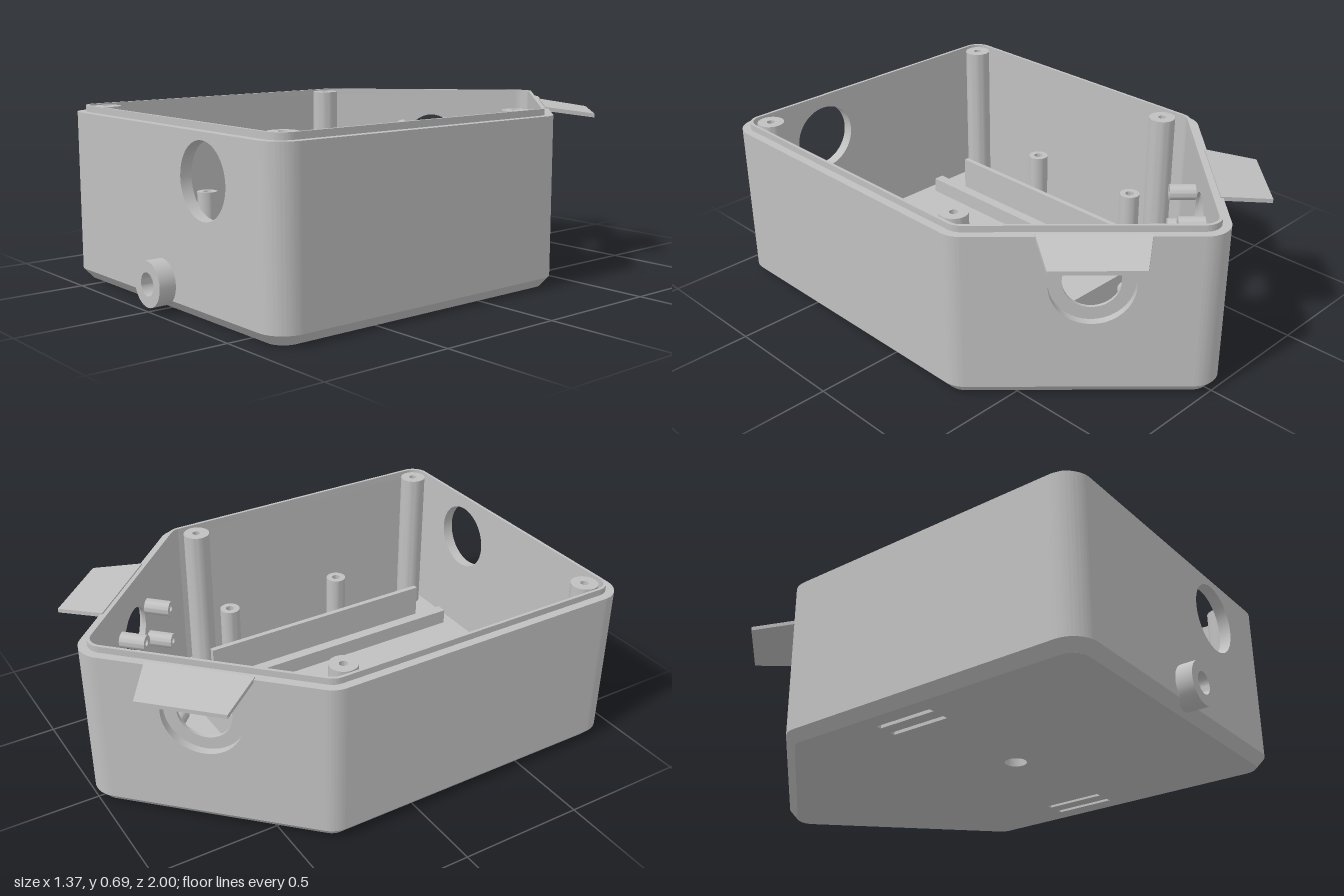
import * as THREE from 'three';
import { toCreasedNormals } from 'three/addons/utils/BufferGeometryUtils.js';

const R = 0.1, WALL = 0.045, FLOOR = 0.045, CHAMFER = 0.04, RIM = 0.66, LIP = 0.685;
const RAD = Math.PI / 180;

// Corner arcs of the plan outline, counter-clockwise: centre x, centre -z, start and end angle
const corners = [
  [0.585, -0.835, -90, 0],
  [0.585, 0.316, 0, 45],
  [0, 0.901, 45, 135],
  [-0.585, 0.316, 135, 180],
  [-0.585, -0.835, 180, 270],
].map(([x, y, a, b]) => [x, y, a * RAD, b * RAD]);

// House-shaped plan outline, moved inwards by inset
function outline(inset) {
  const s = new THREE.Shape();
  corners.forEach(([x, y, a, b]) => s.absarc(x, y, R - inset, a, b, false));
  s.closePath();
  return s;
}

function rect(cx, cy, w, h, Type = THREE.Shape) {
  const s = new Type();
  s.moveTo(cx - w / 2, cy - h / 2);
  s.lineTo(cx + w / 2, cy - h / 2);
  s.lineTo(cx + w / 2, cy + h / 2);
  s.lineTo(cx - w / 2, cy + h / 2);
  s.closePath();
  return s;
}

function circle(x, y, r) {
  return new THREE.Path().absarc(x, y, r, 0, Math.PI * 2, true);
}

function extrude(shape, depth) {
  const g = new THREE.ExtrudeGeometry(shape, { depth, bevelEnabled: false, curveSegments: 20 });
  return toCreasedNormals(g, 0.5);
}

// Plan shape raised from height y0 to y1
function slab(shape, y0, y1) {
  return extrude(shape, y1 - y0).rotateX(-Math.PI / 2).translate(0, y0, 0);
}

// Upright round post with a hole sunk into its top
function post(r, hole, h, depth) {
  const pts = [[r, 0], [r, h], [hole, h], [hole, h - depth]];
  if (depth < h) pts.push([0, h - depth]);
  const g = new THREE.LatheGeometry(pts.map(p => new THREE.Vector2(...p)), 32);
  return toCreasedNormals(g, 0.5);
}

// Sloping band between the base outline and the wall outline
function chamferBand() {
  const low = outline(0.035).getPoints(12), high = outline(0).getPoints(12);
  const pos = [], idx = [], n = low.length;
  for (let i = 0; i < n; i++) {
    pos.push(low[i].x, 0, -low[i].y, high[i].x, CHAMFER, -high[i].y);
    const a = 2 * i, b = 2 * ((i + 1) % n);
    idx.push(a, b, b + 1, a, b + 1, a + 1);
  }
  const g = new THREE.BufferGeometry();
  g.setAttribute('position', new THREE.Float32BufferAttribute(pos, 3));
  g.setIndex(idx);
  return toCreasedNormals(g, 0.5);
}

// Tapered plate that slopes down away from the wall
function visorGeometry() {
  const g = new THREE.BoxGeometry(1, 0.016, 1);
  const p = g.attributes.position;
  for (let i = 0; i < p.count; i++) {
    const t = p.getZ(i) + 0.5;
    p.setXYZ(i, p.getX(i) * (0.4 - 0.07 * t), p.getY(i) + 0.658 - 0.028 * t, -0.01 + 0.197 * t);
  }
  g.computeVertexNormals();
  return g;
}

export function createModel() {
  const model = new THREE.Group();
  const grey = new THREE.MeshStandardMaterial({ color: 0xc0c0c0 });
  grey.name = 'grey plastic';

  function add(name, geometry, parent = model, x = 0, y = 0, z = 0) {
    const m = new THREE.Mesh(geometry, grey);
    m.name = name;
    m.position.set(x, y, z);
    parent.add(m);
    return m;
  }
  function box(name, x0, x1, y0, y1, z0, z1) {
    add(name, new THREE.BoxGeometry(x1 - x0, y1 - y0, z1 - z0), model,
      (x0 + x1) / 2, (y0 + y1) / 2, (z0 + z1) / 2);
  }

  // Floor with drain hole and two pairs of slots
  const floor = outline(0.035);
  floor.holes.push(circle(0, -0.19, 0.043));
  for (const s of [-1, 1]) for (const d of [-0.037, 0.037]) {
    floor.holes.push(rect(s * 0.535 + d, -0.125, 0.022, 0.245, THREE.Path));
  }
  add('floor', slab(floor, 0, FLOOR));
  add('bottomChamfer', chamferBand());

  // Raised lip around the rim
  const lip = outline(0.033);
  lip.holes.push(outline(WALL));
  add('rimLip', slab(lip, RIM - 0.005, LIP));

  // Walls: a rounded corner and a flat panel for each side
  const names = ['leftWall', 'backLeftWall', 'backRightWall', 'rightWall', 'frontWall'];
  corners.forEach(([x, y, a, b], i) => {
    const arc = new THREE.Shape();
    arc.absarc(x, y, R, a, b, false);
    arc.absarc(x, y, R - WALL, b, a, true);
    arc.closePath();
    add('wallCorner', slab(arc, CHAMFER, RIM));

    const next = corners[(i + 1) % corners.length];
    const length = Math.hypot(next[0] - x, next[1] - y);
    const side = new THREE.Group();
    side.name = names[i];
    side.position.set((x + next[0]) / 2 + R * Math.cos(b), 0, -(y + next[1]) / 2 - R * Math.sin(b));
    side.rotation.y = b + Math.PI / 2;
    model.add(side);

    // Panel layer with round holes, between two depths behind the outer face
    const panel = (holes, from, to) => {
      const s = rect(0, (CHAMFER + RIM) / 2, length, RIM - CHAMFER);
      holes.forEach(h => s.holes.push(circle(...h)));
      add('panel', extrude(s, to - from), side, 0, 0, -to);
    };

    if (i === 1 || i === 2) {
      // Angled wall: stepped port, visor and four mounting pegs
      const c = i === 1 ? 0.035 : -0.035;
      panel([[c, 0.465, 0.155]], 0, 0.032);
      panel([[c, 0.465, 0.105]], 0.032, WALL);
      add('visor', visorGeometry(), side, c);
      for (const dx of [-0.131, 0.131]) for (const py of [0.365, 0.515]) {
        add('mountingPeg', post(0.031, 0.012, 0.108, 0.06).rotateX(-Math.PI / 2), side, c + dx, py, -0.038);
      }
    } else if (i === 4) {
      // Front wall: large port and short nozzle
      panel([[0.27, 0.493, 0.138], [0, 0.1, 0.043]], 0, WALL);
      add('nozzle', post(0.085, 0.043, 0.095, 0.095).rotateX(Math.PI / 2), side, 0, 0.1, -0.03);
    } else {
      panel([], 0, WALL);
    }
  });

  // Mirrored fittings on the floor
  for (const s of [-1, 1]) {
    for (const z of [-0.265, 0.825]) {
      add('cornerPost', post(0.053, 0.016, 0.68 - 0.03, 0.2), model, s * 0.575, 0.03, z);
    }
    for (const z of [-0.145, 0.395]) {
      add('shortPost', post(0.042, 0.018, 0.27, 0.15), model, s * 0.54, 0.03, z);
    }
    const span = (a, b) => (s > 0 ? [a, b] : [-b, -a]);
    box('thickRail', ...span(0.3, 0.345), 0.03, 0.11, -0.365, 0.84);
    box('thinRail', ...span(0.428, 0.45), 0.03, 0.19, -0.29, 0.77);
    box('slotCover', ...span(0.463, 0.608), FLOOR, 0.075, -0.032, 0.282);
  }
  box('crossPlate', -0.345, 0.345, 0.03, 0.2, -0.445, -0.422);

  // Central block around the drain hole
  const block = rect(0, -0.188, 0.312, 0.316);
  block.holes.push(circle(0, -0.19, 0.043));
  add('centreBlock', slab(block, FLOOR, 0.11));

  return model;
}
